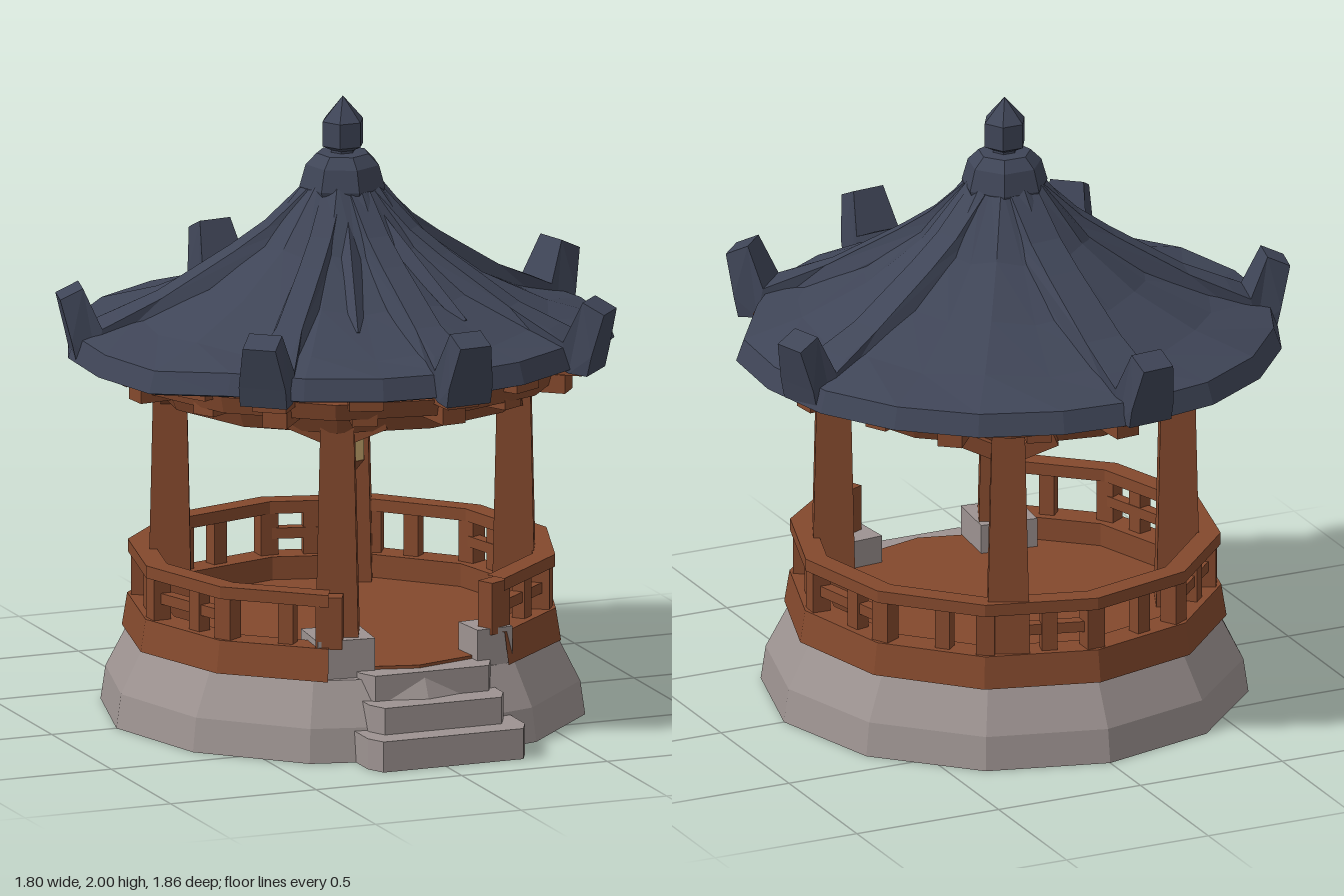
import * as THREE from 'three';

const DEG = Math.PI / 180;

export function createModel() {
  const model = new THREE.Group();
  model.name = 'pavilion';
  const mat = (name, color) => {
    const m = new THREE.MeshStandardMaterial({ color });
    m.name = name;
    return m;
  };
  const roofMat = mat('slate blue', 0x3f4557);
  const woodMat = mat('timber brown', 0x84492d);
  const stoneMat = mat('stone grey', 0x9d9391);
  const glowMat = mat('lantern cream', 0xd0b074);

  // Adds a faceted mesh
  const add = (name, geo, material, parent = model) => {
    const g = geo.index ? geo.toNonIndexed() : geo;
    g.computeVertexNormals();
    const mesh = new THREE.Mesh(g, material);
    mesh.name = name;
    parent.add(mesh);
    return mesh;
  };
  const box = (name, size, pos, material, yaw = 0, parent = model) => {
    const m = add(name, new THREE.BoxGeometry(...size), material, parent);
    m.position.set(...pos);
    m.rotation.y = yaw;
    return m;
  };
  // Angles are measured from the front
  const lathe = (pts, sides, start = 0, length = 360) => new THREE.LatheGeometry(
    pts.map(p => new THREE.Vector2(...p)), sides, start * DEG, length * DEG);
  const group = (name, deg = 0) => {
    const g = new THREE.Group();
    g.name = name;
    g.rotation.y = deg * DEG;
    model.add(g);
    return g;
  };
  // Moves each vertex by a rule
  const warp = (geo, rule) => {
    const p = geo.attributes.position, v = new THREE.Vector3();
    for (let i = 0; i < p.count; i++) {
      v.fromBufferAttribute(p, i);
      rule(v);
      p.setXYZ(i, v.x, v.y, v.z);
    }
    return geo;
  };

  // Stone mound
  add('stoneBase', lathe([[0, 0], [0.778, 0], [0.762, 0.11], [0.69, 0.25], [0, 0.255]], 12), stoneMat);

  // Front steps, each with slanted ends
  [[0.87, 0, 0.1, 0.27], [0.785, 0.1, 0.187, 0.23], [0.69, 0.187, 0.27, 0.225]].forEach(([z, y0, y1, w]) => {
    const s = new THREE.Shape([[-w, 0.45], [w, 0.45], [w, z - 0.06], [w - 0.03, z], [0.03 - w, z], [-w, z - 0.06]]
      .map(p => new THREE.Vector2(p[0], -p[1])).reverse());
    const g = new THREE.ExtrudeGeometry(s, { depth: y1 - y0, bevelEnabled: false });
    g.rotateX(-Math.PI / 2).translate(0.025, y0, 0);
    add('step', g, stoneMat);
  });
  box('leftEntryBlock', [0.125, 0.12, 0.13], [0.265, 0.31, 0.55], stoneMat, 0.1);
  box('rightEntryBlock', [0.19, 0.13, 0.19], [-0.225, 0.31, 0.51], stoneMat, -0.1);

  // Floor, sill and railing, open at the front
  add('floor', new THREE.CylinderGeometry(0.64, 0.64, 0.03, 12).translate(0, 0.265, 0), woodMat);
  const start = 26, arc = 308, sides = 10, stepDeg = arc / sides;
  add('sillBeam', lathe([[0.59, 0.25], [0.707, 0.25], [0.69, 0.355], [0.59, 0.355], [0.59, 0.25]],
    sides, start, arc), woodMat);
  add('handrail', lathe([[0.615, 0.49], [0.688, 0.49], [0.688, 0.53], [0.615, 0.53], [0.615, 0.49]],
    sides, start, arc), woodMat);
  for (let i = 0; i <= sides; i++) {
    const g = group('railingPost', start + i * stepDeg);
    const end = i === 0 || i === sides;
    box('post', [end ? 0.085 : 0.06, 0.17, 0.06], [0, 0.435, 0.645], woodMat, 0, g);
    if (i === sides) continue;
    // Short baluster and low bar in each bay
    const bay = group('railingBay', start + (i + 0.5) * stepDeg);
    box('baluster', [0.05, 0.15, 0.045], [0.03, 0.425, 0.62], woodMat, 0, bay);
    if (i % 2 === 0) box('lowBar', [0.32, 0.035, 0.04], [0, 0.425, 0.615], woodMat, 0, bay);
  }

  // Four tapered pillars with knee braces and crossing ceiling beams
  [[-24, 0.54], [66, 0.545], [155.5, 0.59], [247.5, 0.55]].forEach(([deg, r]) => {
    const g = group('pillarBay', deg);
    const pillar = new THREE.CylinderGeometry(0.074, 0.1, 0.84, 4).rotateY(Math.PI / 4);
    add('pillar', pillar.translate(0, 0.69, r), woodMat, g);
    box('ceilingBeam', [0.07, 0.09, r], [0, 1.07, r / 2], woodMat, 0, g);
    for (const s of [-1, 1]) {
      const brace = box('kneeBrace', [0.13, 0.05, 0.06], [s * 0.09, 1.045, r], woodMat, 0, g);
      brace.rotation.z = s * 0.4;
    }
  });

  // Eave frame: ring beams, ceiling and bracket blocks
  add('ringBeam', lathe([[0.53, 1.04], [0.6, 1.04], [0.64, 1.13], [0.53, 1.13], [0.53, 1.04]], 12, 6), woodMat);
  add('outerRingBeam', lathe([[0.65, 1.11], [0.72, 1.11], [0.735, 1.165], [0.65, 1.165], [0.65, 1.11]], 12, 6), woodMat);
  add('ceiling', new THREE.CylinderGeometry(0.67, 0.67, 0.1, 12).translate(0, 1.18, 0), woodMat);
  for (let i = 0; i < 16; i++) {
    const g = group('eaveBracket', i * 22.5 + 6);
    const extra = i % 2 ? 0 : 0.05;
    box('upperArm', [0.11, 0.06, 0.2 + extra], [0, 1.18, 0.66 + extra / 2], woodMat, 0, g);
    box('lowerArm', [0.08, 0.06, 0.14], [0, 1.115, 0.63 + extra], woodMat, 0, g);
  }

  // Hanging lantern
  add('lanternHanger', lathe([[0, 0.9], [0.065, 0.91], [0.03, 0.945], [0.035, 0.98], [0.06, 1.0], [0.045, 1.05], [0, 1.05]], 6), woodMat);
  add('lanternGlass', lathe([[0, 0.8], [0.073, 0.815], [0.073, 0.91], [0.05, 0.925], [0, 0.925]], 8), glowMat);
  add('lanternFoot', lathe([[0, 0.778], [0.045, 0.778], [0.075, 0.815], [0, 0.82]], 8), woodMat);

  // Roof skin with gentle folds; the front edge is tucked in and lifted
  const roof = lathe([[0.6, 1.2], [0.84, 1.165], [0.875, 1.175], [0.85, 1.245], [0.66, 1.295], [0.45, 1.395], [0.27, 1.53], [0.11, 1.73]], 20, 5);
  warp(roof, v => {
    const a = Math.abs(Math.atan2(v.x, v.z)) / DEG;
    const rim = Math.hypot(v.x, v.z) > 0.7;
    const front = a < 65;
    const k = !rim ? 1 : front ? 0.93 : a > 100 && a < 160 ? 1.012 : 1;
    v.x *= k;
    v.z *= k;
    if (rim && front) v.y += 0.018;
    if (!rim && v.y > 1.28) v.y += Math.round((Math.atan2(v.x, v.z) / DEG - 5) / 18) % 2 ? -0.006 : 0.01;
  });
  add('roof', roof, roofMat);

  // Broad radiating ridges ending in upturned tails
  const profile = [[0.08, 1.62], [0.25, 1.48], [0.45, 1.35], [0.68, 1.24], [0.82, 1.18], [0.885, 1.175], [0.9, 1.24],
    [0.935, 1.375], [0.86, 1.41], [0.8, 1.28], [0.74, 1.31], [0.6, 1.37], [0.36, 1.515], [0.25, 1.59], [0.1, 1.73]];
  const surface = r => 1.25 + 0.62 * Math.pow(Math.max(0, 0.86 - r), 1.35);
  // Heading, length factor and width factor of each ridge
  [[5, 0.99, 0.8], [46, 0.98, 0.75], [106, 0.98, 0.95], [186, 1, 1.15], [256, 0.98, 0.95], [-39.5, 0.96, 0.75]].forEach(([deg, size, width]) => {
    const geo = new THREE.ExtrudeGeometry(new THREE.Shape(profile.map(p => new THREE.Vector2(...p))),
      { depth: 2, bevelEnabled: false });
    geo.translate(0, 0, -1);
    warp(geo, v => {
      const tail = v.x > 0.79;
      const half = tail ? 0.078 : width * (0.065 + 0.045 * v.x);
      const top = !tail && v.y > surface(v.x) ? 0.62 : 1;
      v.z *= half * top * (tail && v.y > 1.37 ? 0.7 : 1);
      v.x *= size;
    });
    geo.rotateY(-Math.PI / 2);
    add('roofRidge', geo, roofMat, group('ridge', deg));
  });
  // Folds fanning out from the crown between the front ridges
  for (const deg of [-17, 25]) {
    const fold = add('roofFold', new THREE.CylinderGeometry(0.045, 0.02, 0.5, 4), roofMat, group('fold', deg));
    fold.position.set(0, 1.485, 0.32);
    fold.rotation.x = 0.62 - Math.PI / 2;
  }

  // Crown and pointed finial
  add('roofCrown', lathe([[0, 1.66], [0.13, 1.68], [0.14, 1.71], [0.12, 1.78], [0.085, 1.815], [0, 1.82]], 7), roofMat);
  add('finial', lathe([[0, 1.8], [0.04, 1.8], [0.04, 1.825], [0.07, 1.84], [0.07, 1.92], [0, 2]], 6, 30), roofMat);

  return model;
}
